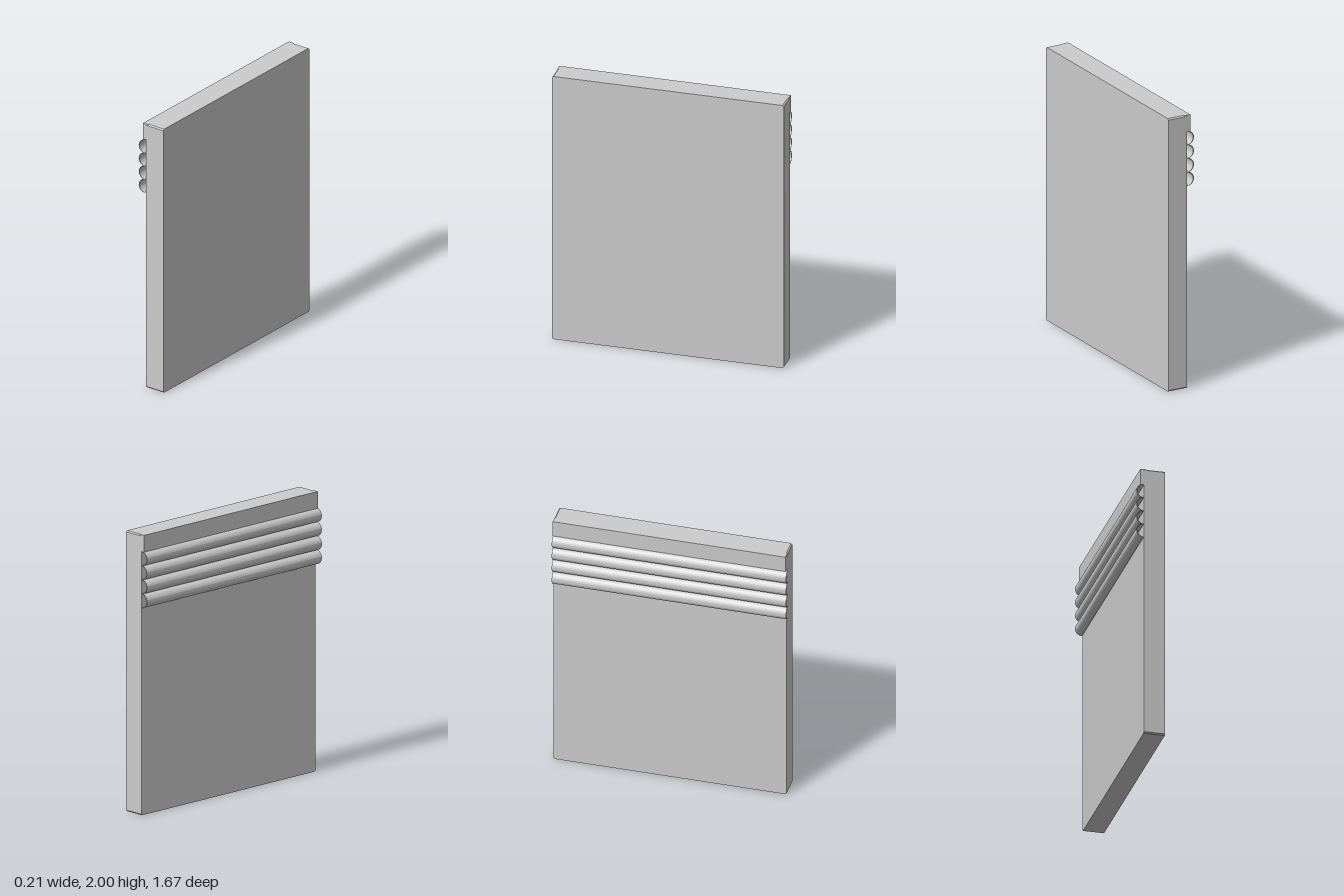
import * as THREE from 'three';
import { toCreasedNormals } from 'three/addons/utils/BufferGeometryUtils.js';

const material = new THREE.MeshStandardMaterial({ color: 0xcccccc, side: THREE.DoubleSide });

function addMesh(group, name, geometry, x, y, z) {
  const mesh = new THREE.Mesh(geometry, material);
  mesh.name = name;
  mesh.position.set(x, y, z);
  group.add(mesh);
  return mesh;
}

// Rectangle outline with small chamfered corners
function chamferedRect(x0, x1, y0, y1, c) {
  return new THREE.Shape([
    [x0 + c, y0], [x1 - c, y0], [x1, y0 + c], [x1, y1 - c],
    [x1 - c, y1], [x0 + c, y1], [x0, y1 - c], [x0, y0 + c],
  ].map(([x, y]) => new THREE.Vector2(x, y)));
}

// Thin crescent section, bulging towards -x
function crescent() {
  const shape = new THREE.Shape();
  shape.absellipse(0, 0, 0.05, 0.05, Math.PI / 2, Math.PI * 1.5, false);
  shape.absellipse(0, 0, 0.043, 0.0485, Math.PI * 1.5, Math.PI / 2, true);
  return shape;
}

export function createModel() {
  const group = new THREE.Group();
  group.name = 'wallPanel';

  // Main slab: outline in z and y, extruded across its thickness in x
  const slab = new THREE.ExtrudeGeometry(chamferedRect(-0.825, 0.835, 0, 2, 0.009),
    { depth: 0.15, bevelEnabled: false });
  slab.rotateY(Math.PI / 2);
  addMesh(group, 'slab', slab, -0.05, 0, 0);

  // Header strip along the top, proud of the slab on the -x side
  addMesh(group, 'headerStrip', new THREE.BoxGeometry(0.045, 0.12, 1.658), -0.0525, 1.94, -0.005);

  // Four rounded hollow slats below the header
  const slat = toCreasedNormals(new THREE.ExtrudeGeometry(crescent(),
    { depth: 1.667, bevelEnabled: false, curveSegments: 20 }), 0.7);
  for (let i = 0; i < 4; i++) {
    addMesh(group, 'roundedSlat' + (i + 1), slat, -0.055, 1.83 - i * 0.1, -0.833);
  }
  return group;
}
